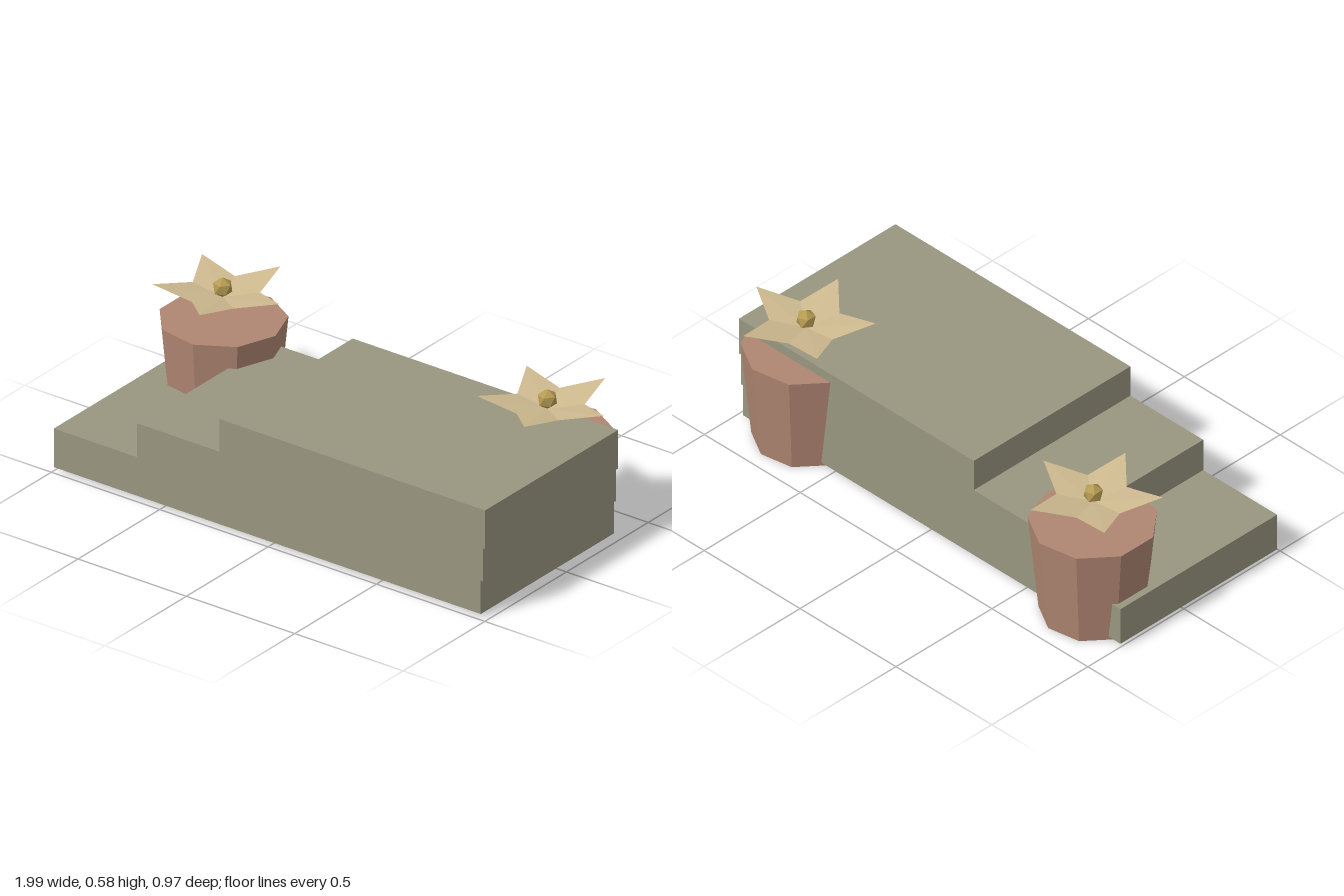
import * as THREE from 'three';

const flat = (name, color, side = THREE.FrontSide) => {
  const m = new THREE.MeshStandardMaterial({ color, flatShading: true, side });
  m.name = name;
  return m;
};

// Five creased petals rising from a low centre to pointed tips
function petalGeometry() {
  const count = 5, pos = [];
  const point = (r, y, a) => [r * Math.cos(a), y, -r * Math.sin(a)];
  for (let i = 0; i < count; i++) {
    const a = (i / count) * Math.PI * 2, half = Math.PI / count;
    const centre = [0, 0.497, 0];
    const tip = point(0.26, 0.547, a);
    const before = point(0.138, 0.516, a - half);
    const after = point(0.138, 0.516, a + half);
    pos.push(...centre, ...before, ...tip, ...centre, ...tip, ...after);
  }
  const g = new THREE.BufferGeometry();
  g.setAttribute('position', new THREE.Float32BufferAttribute(pos, 3));
  g.computeVertexNormals();
  return g;
}

export function createModel() {
  const model = new THREE.Group();
  model.name = 'steppedPlanter';
  const stone = flat('stone', 0x98967f);
  const clay = flat('clay', 0xb08672);
  const petal = flat('petal', 0xcdb98f, THREE.DoubleSide);
  const pollen = flat('pollen', 0xb59a52);

  const add = (parent, name, geometry, material, x = 0, y = 0, z = 0) => {
    const mesh = new THREE.Mesh(geometry, material);
    mesh.name = name;
    mesh.position.set(x, y, z);
    parent.add(mesh);
  };

  // Three overlapping slabs: left end, right end, bottom, top
  const zBack = -0.33, zFront = 0.485;
  [
    ['lowerStep', -1, 0.97, 0.015, 0.175],
    ['middleStep', -0.615, 0.98, 0.153, 0.315],
    ['upperStep', -0.235, 0.99, 0.29, 0.45],
  ].forEach(([name, x0, x1, y0, y1]) =>
    add(model, name, new THREE.BoxGeometry(x1 - x0, y1 - y0, zFront - zBack), stone,
      (x0 + x1) / 2, (y0 + y1) / 2, (zBack + zFront) / 2));

  // Nine-sided tapered pots, each with a flower hovering above
  const potShape = new THREE.CylinderGeometry(0.243, 0.203, 0.41, 9, 1, false, Math.PI / 2);
  const petals = petalGeometry();
  const bud = new THREE.IcosahedronGeometry(0.04, 0);
  bud.rotateX(-Math.atan((1 + Math.sqrt(5)) / 2)); // one corner straight up
  bud.rotateY(Math.PI / 2);
  for (const [side, x] of [['right', -0.765], ['left', 0.733]]) {
    const planter = new THREE.Group();
    planter.name = side + 'Planter';
    planter.position.set(x, 0, -0.237);
    add(planter, 'pot', potShape, clay, 0, 0.205, 0);
    add(planter, 'petals', petals, petal);
    add(planter, 'flowerCentre', bud, pollen, 0, 0.537, 0);
    model.add(planter);
  }
  return model;
}
